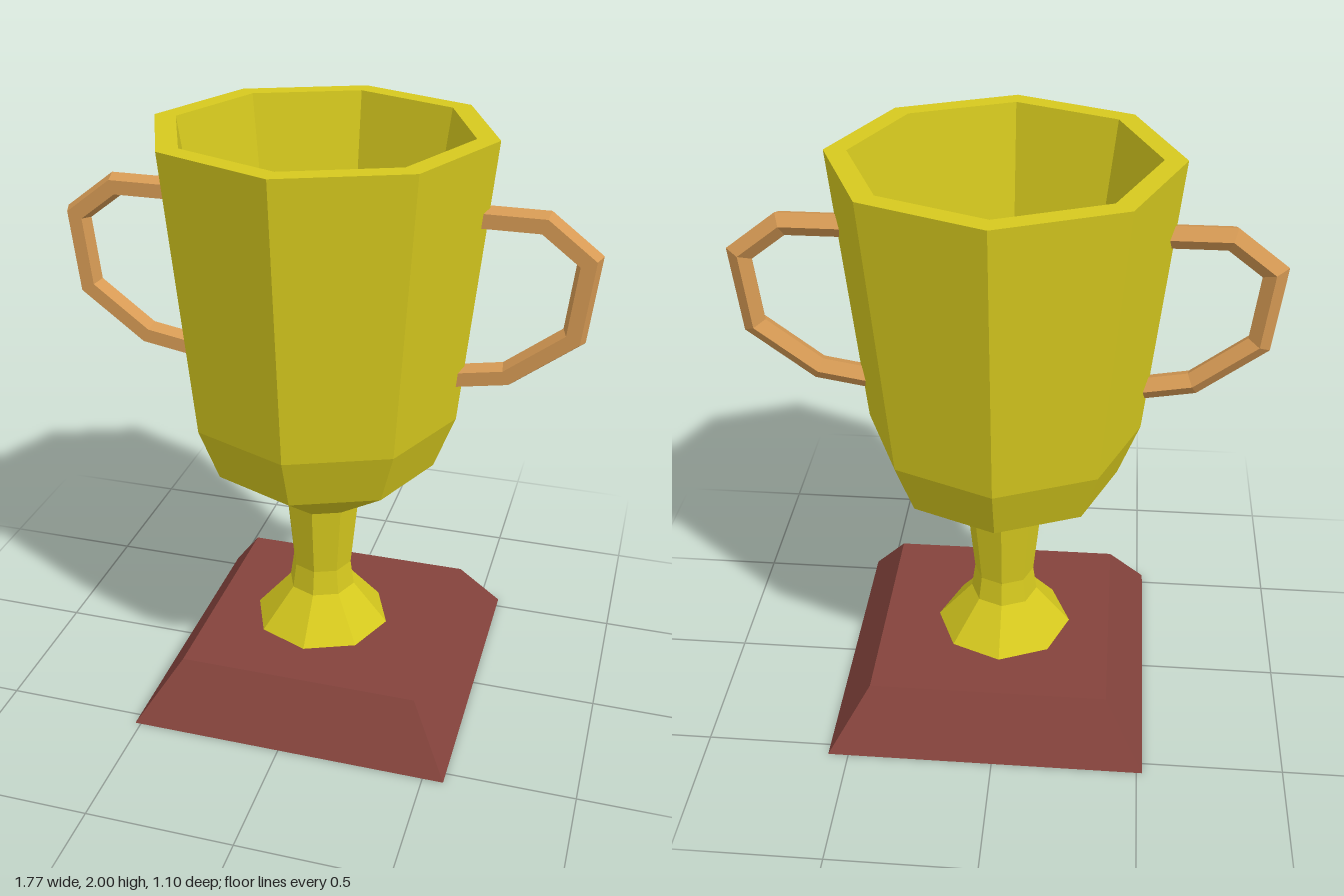
import * as THREE from 'three';

const material = (color) => new THREE.MeshStandardMaterial({ color, flatShading: true });

// Eight-sided turned part from [radius, height] pairs
function turned(name, profile, mat) {
  const points = profile.map(([r, y]) => new THREE.Vector2(r, y));
  const mesh = new THREE.Mesh(new THREE.LatheGeometry(points, 8), mat);
  mesh.name = name;
  return mesh;
}

// Pentagonal bar swept along a path in the xy plane with mitred corners
function sweptBar(path, radius) {
  const sides = 5;
  const pts = path.map(([x, y]) => new THREE.Vector2(x, y));
  const dirs = pts.slice(1).map((p, i) => p.clone().sub(pts[i]).normalize());
  const rings = pts.map((p, i) => {
    const before = dirs[Math.max(i - 1, 0)];
    const after = dirs[Math.min(i, dirs.length - 1)];
    const tangent = before.clone().add(after).normalize();
    const miter = radius / tangent.dot(before);
    const ring = [];
    for (let k = 0; k < sides; k++) {
      // one corner points to the back, one flat side to the front
      const a = -Math.PI / 2 + (k * 2 * Math.PI) / sides;
      const n = Math.cos(a) * miter;
      ring.push([p.x - tangent.y * n, p.y + tangent.x * n, Math.sin(a) * radius]);
    }
    return ring;
  });
  const pos = [];
  for (let i = 0; i < rings.length - 1; i++) {
    for (let k = 0; k < sides; k++) {
      const m = (k + 1) % sides;
      const a = rings[i][k], b = rings[i][m], c = rings[i + 1][m], d = rings[i + 1][k];
      pos.push(...a, ...b, ...c, ...a, ...c, ...d);
    }
  }
  // end caps
  const first = rings[0], last = rings[rings.length - 1];
  for (let k = 1; k < sides - 1; k++) {
    pos.push(...first[0], ...first[k + 1], ...first[k]);
    pos.push(...last[0], ...last[k], ...last[k + 1]);
  }
  const geo = new THREE.BufferGeometry();
  geo.setAttribute('position', new THREE.Float32BufferAttribute(pos, 3));
  geo.computeVertexNormals();
  return geo;
}

export function createModel() {
  const model = new THREE.Group();
  model.name = 'trophy';
  const gold = material(0xd6c91e);
  const bronze = material(0xd69a54);
  const wood = material(0x84433c);

  // Square plinth with sloping sides, slightly off centre
  const plinthGeo = new THREE.CylinderGeometry(0.41 * Math.SQRT2, 0.545 * Math.SQRT2, 0.205, 4);
  plinthGeo.rotateY(Math.PI / 4);
  const plinth = new THREE.Mesh(plinthGeo, wood);
  plinth.name = 'plinth';
  plinth.position.set(0.025, 0.1025, 0);
  model.add(plinth);

  // Flared foot and stem
  model.add(turned('stem', [[0.24, 0.205], [0.118, 0.35], [0.105, 0.44], [0.13, 0.695]], gold));

  // Bowl: outside, rim, inside wall and floor
  model.add(turned('bowl', [
    [0, 0.692], [0.13, 0.692], [0.388, 0.875], [0.458, 1.06], [0.552, 2],
    [0.48, 2], [0.325, 1], [0, 1],
  ], gold));

  // Handles, mirrored left and right
  const handlePath = [
    [0.49, 1.757], [0.705, 1.757], [0.845, 1.65], [0.817, 1.397], [0.615, 1.243], [0.44, 1.213],
  ];
  for (const side of [1, -1]) {
    const path = handlePath.map(([x, y]) => [x * side, y]);
    const handle = new THREE.Mesh(sweptBar(path, 0.04), bronze);
    handle.name = side > 0 ? 'leftHandle' : 'rightHandle';
    model.add(handle);
  }
  return model;
}
